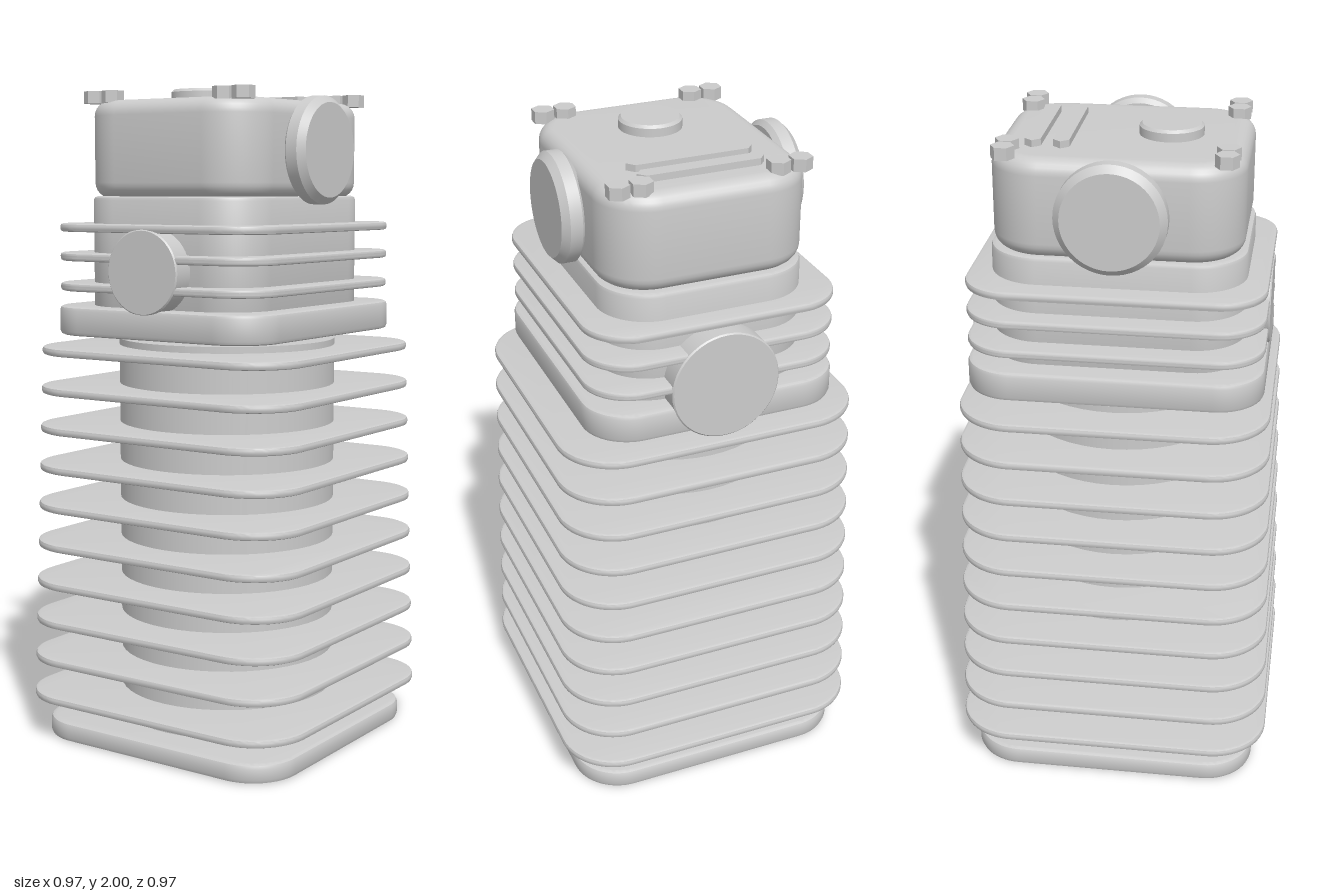
import * as THREE from 'three';
import { toCreasedNormals } from 'three/addons/utils/BufferGeometryUtils.js';

const material = new THREE.MeshStandardMaterial({ color: 0xcccccc });

function add(parent, name, geometry, x = 0, y = 0, z = 0) {
  const mesh = new THREE.Mesh(geometry, material);
  mesh.name = name;
  mesh.position.set(x, y, z);
  parent.add(mesh);
  return mesh;
}

// Rounded rectangle plate lying flat from y0 to y1, with softened edges.
function plate(halfX, halfZ, radius, y0, y1, bevel, bevelSegments = 2) {
  const x = halfX - bevel, z = halfZ - bevel, r = radius - bevel;
  const shape = new THREE.Shape();
  shape.absarc(x - r, z - r, r, 0, Math.PI / 2);
  shape.absarc(-x + r, z - r, r, Math.PI / 2, Math.PI);
  shape.absarc(-x + r, -z + r, r, Math.PI, Math.PI * 1.5);
  shape.absarc(x - r, -z + r, r, Math.PI * 1.5, Math.PI * 2);
  shape.closePath();
  const geometry = new THREE.ExtrudeGeometry(shape, {
    depth: y1 - y0 - 2 * bevel, bevelEnabled: true, bevelSize: bevel,
    bevelThickness: bevel, bevelSegments, curveSegments: 10,
  });
  geometry.rotateX(-Math.PI / 2).translate(0, y0 + bevel, 0);
  return toCreasedNormals(geometry, 0.6);
}

// Round disc along y from 0 to height, with chamfered rims.
function disc(radius, height, bevelBottom, bevelTop) {
  const points = [
    [0, 0], [radius - bevelBottom, 0], [radius, bevelBottom],
    [radius, height - bevelTop], [radius - bevelTop, height], [0, height],
  ].map(([x, y]) => new THREE.Vector2(x, y));
  return toCreasedNormals(new THREE.LatheGeometry(points, 48), 0.6);
}

export function createModel() {
  const model = new THREE.Group();
  model.name = 'engineCylinder';

  // Barrel with tapering stack of cooling fins
  const barrel = new THREE.Group();
  barrel.name = 'barrel';
  model.add(barrel);
  add(barrel, 'baseFlange', plate(0.443, 0.443, 0.15, 0, 0.06, 0.014));
  add(barrel, 'barrelCore', new THREE.CylinderGeometry(0.335, 0.335, 1.2, 48), 0, 0.65, 0);
  for (let i = 0; i < 10; i++) {
    const y = 0.138 + i * 0.12, half = 0.485 - i * 0.0031;
    add(barrel, 'barrelFin', plate(half, half, 0.175, y - 0.012, y + 0.012, 0.008));
  }

  // Cylinder head
  const head = new THREE.Group();
  head.name = 'head';
  model.add(head);
  add(head, 'headFlange', plate(0.384, 0.435, 0.14, 1.27, 1.357, 0.012));
  add(head, 'headCore', plate(0.305, 0.371, 0.15, 1.33, 1.685, 0.012));
  for (const y of [1.415, 1.505, 1.592]) {
    add(head, 'headFin', plate(0.38, 0.434, 0.14, y - 0.012, y + 0.012, 0.008));
  }

  // Ports: smaller at the front, larger at the back
  add(head, 'frontPort', disc(0.125, 0.137, 0, 0.004), 0, 1.467, 0.3).rotation.x = Math.PI / 2;
  add(head, 'backPort', disc(0.163, 0.139, 0, 0.004), 0, 1.4, -0.3).rotation.x = -Math.PI / 2;

  // Valve cover
  const cover = new THREE.Group();
  cover.name = 'valveCover';
  model.add(cover);
  add(cover, 'coverBody', plate(0.306, 0.361, 0.15, 1.68, 1.967, 0.045, 6));
  add(cover, 'fillerCap', disc(0.093, 0.06, 0, 0.008), 0, 1.94, 0.13);

  // Raised ribs with pointed ends
  const rib = new THREE.Shape([
    [-0.188, 0], [-0.168, -0.023], [0.168, -0.023],
    [0.188, 0], [0.168, 0.023], [-0.168, 0.023],
  ].map(([x, y]) => new THREE.Vector2(x, y)));
  const ribGeometry = new THREE.ExtrudeGeometry(rib, { depth: 0.05, bevelEnabled: false });
  ribGeometry.rotateX(-Math.PI / 2);
  for (const z of [-0.243, -0.162]) add(cover, 'coverRib', ribGeometry, 0, 1.937, z);

  // Paired hex bolts at each corner
  const boltGeometry = toCreasedNormals(new THREE.CylinderGeometry(0.034, 0.034, 0.036, 6), 0.5);
  for (const sx of [-1, 1]) {
    for (const sz of [-1, 1]) {
      for (const x of [0.2, 0.267]) add(cover, 'coverBolt', boltGeometry, sx * x, 1.977, sz * 0.309);
    }
    // Round side caps
    const cap = add(cover, 'sideCap', disc(0.159, 0.07, 0.014, 0.02), sx * 0.299, 1.82, 0);
    cap.rotation.z = -sx * Math.PI / 2;
  }

  return model;
}
